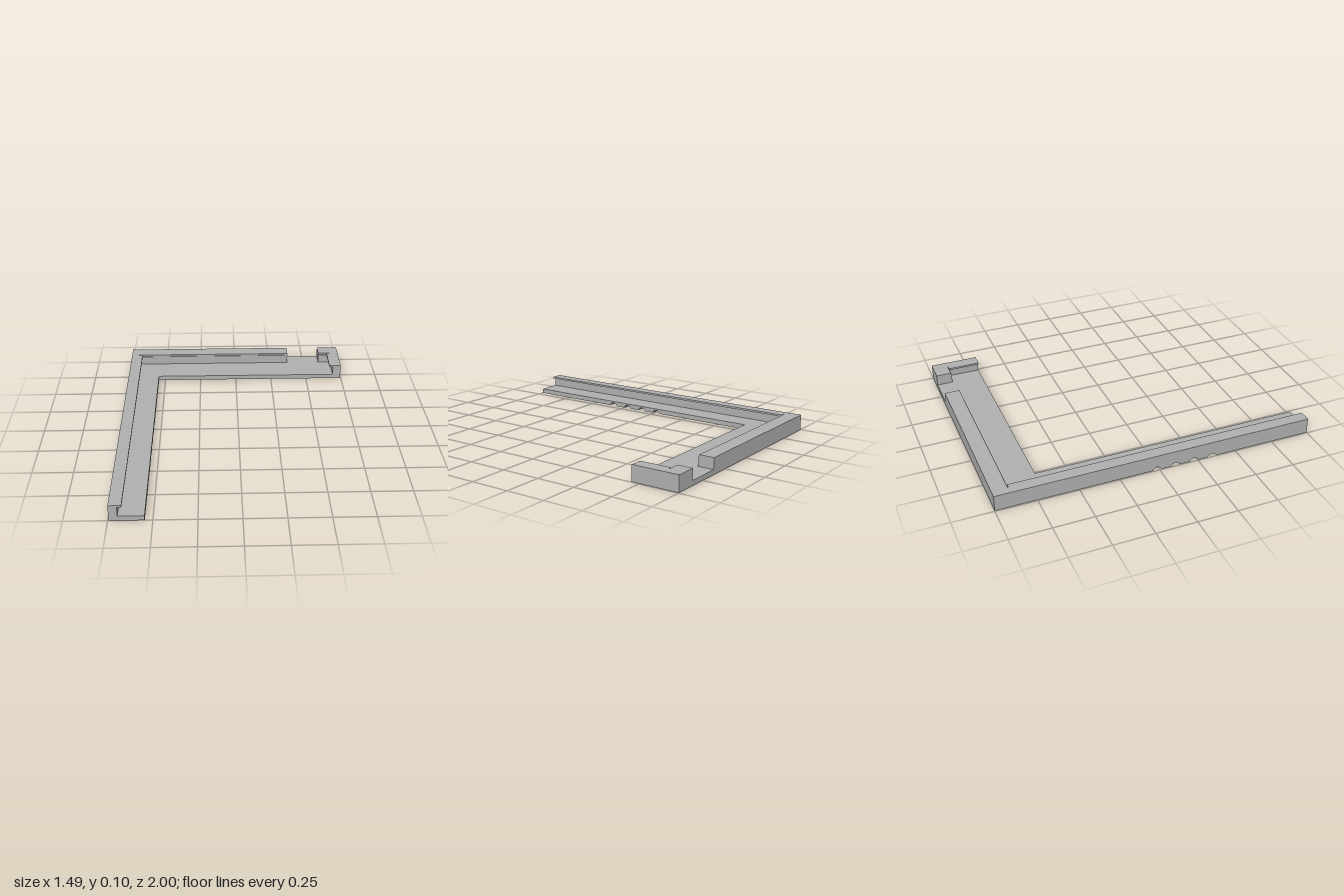
import * as THREE from 'three';

export function createModel() {
  const group = new THREE.Group();
  const grey = new THREE.MeshStandardMaterial({ color: 0xb0b0b0 });
  grey.name = 'plain grey';

  const add = (name, geometry) => {
    const mesh = new THREE.Mesh(geometry, grey);
    mesh.name = name;
    group.add(mesh);
  };
  // Box given by its extents on each axis
  const block = (name, [x0, x1], [y0, y1], [z0, z1]) => {
    const g = new THREE.BoxGeometry(x1 - x0, y1 - y0, z1 - z0);
    g.translate((x0 + x1) / 2, (y0 + y1) / 2, (z0 + z1) / 2);
    add(name, g);
  };

  const W = 0.745, FLOOR = 0.03, LIP = 0.088, TOP = 0.1;
  const legIn = -0.545, armFront = -0.7;

  // Long floor with round grooves cut across its underside
  const r = 0.03, sink = 0.01;
  const half = Math.sqrt(r * r - sink * sink), a = Math.asin(sink / r);
  const side = new THREE.Shape();
  side.moveTo(armFront, 0);
  for (const z of [-0.015, 0.105, 0.225, 0.345]) {
    side.lineTo(z - half, 0);
    side.absarc(z, -sink, r, Math.PI - a, a, true);
  }
  side.lineTo(1, 0);
  side.lineTo(1, FLOOR);
  side.lineTo(armFront, FLOOR);
  const legFloor = new THREE.ExtrudeGeometry(side, { depth: W + legIn, bevelEnabled: false, curveSegments: 16 });
  legFloor.rotateY(-Math.PI / 2).translate(legIn, 0, 0);
  add('longFloor', legFloor);

  // Short floor
  block('shortFloor', [-W, W], [0, FLOOR], [-1, armFront]);

  // Side walls with overhanging lips
  block('longWall', [-W, -0.695], [FLOOR, TOP], [-0.9, 1]);
  block('longLip', [-0.695, -0.67], [LIP, TOP], [-0.9, 1]);
  block('endWall', [0.69, W], [FLOOR, TOP], [-0.9, armFront]);
  block('endLip', [0.665, 0.69], [LIP, TOP], [-0.9, armFront]);

  // Back wall in two pieces with a gap; a fine step runs along the inner top edge
  for (const [name, outer, inner] of [
    ['backWall', [-W, 0.38], [-0.695, 0.38]],
    ['backCorner', [0.605, W], [0.605, 0.69]],
  ]) {
    block(name, outer, [FLOOR, TOP], [-1, -0.905]);
    block(name + 'Step', inner, [FLOOR, LIP], [-0.905, -0.9]);
  }
  block('longWallJoint', [-W, -0.695], [FLOOR, TOP], [-0.905, -0.9]);
  block('endWallJoint', [0.69, W], [FLOOR, TOP], [-0.905, -0.9]);

  return group;
}
